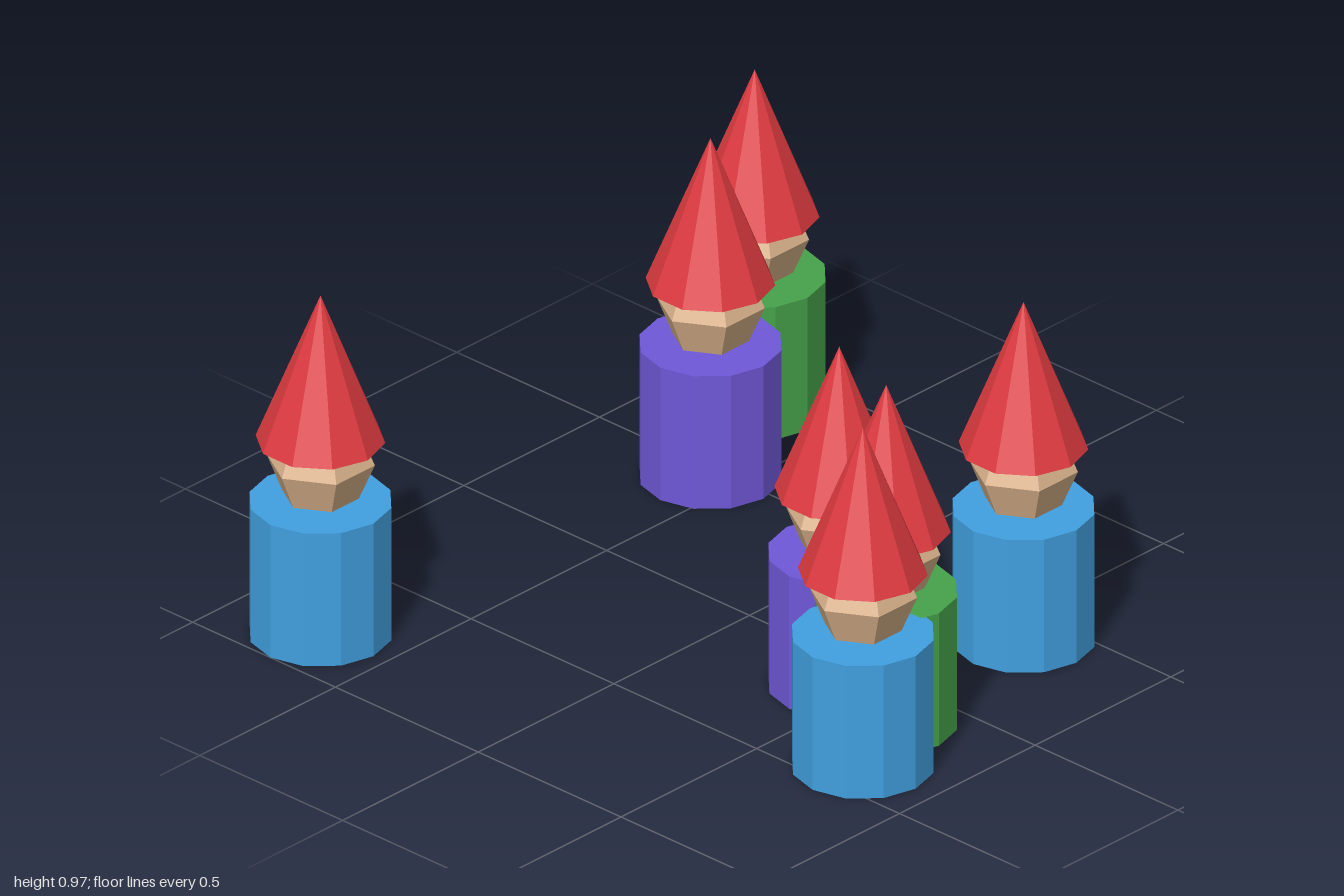
import * as THREE from 'three';

const mat = (name, color) => {
  const m = new THREE.MeshStandardMaterial({ color, flatShading: true });
  m.name = name;
  return m;
};

export function createModel() {
  const red = mat('hat red', 0xdf3a40);
  const skin = mat('skin', 0xdfb78f);
  const blue = mat('coat blue', 0x41a0e0);
  const green = mat('coat green', 0x46a34b);
  const purple = mat('coat purple', 0x7058d8);

  // Shared low-poly parts of one figure
  const bodyGeo = new THREE.CylinderGeometry(0.185, 0.185, 0.383, 12);
  const headGeo = new THREE.SphereGeometry(0.142, 6, 4);
  const hatGeo = new THREE.ConeGeometry(0.166, 0.415, 10);

  const part = (name, geometry, material, y) => {
    const mesh = new THREE.Mesh(geometry, material);
    mesh.name = name;
    mesh.position.y = y;
    return mesh;
  };

  const makeGnome = (coat, x, z) => {
    const gnome = new THREE.Group();
    gnome.name = 'gnome';
    gnome.add(
      part('body', bodyGeo, coat, 0.1915),
      part('head', headGeo, skin, 0.5),
      part('hat', hatGeo, red, 0.559 + 0.2075)
    );
    gnome.position.set(x, 0, z);
    return gnome;
  };

  // Scattered figures: coat, x, z
  const places = [
    [blue, -0.815, -0.728],
    [purple, 0.472, -0.585],
    [green, 0.813, -0.754],
    [purple, -0.105, 0.414],
    [green, -0.17, 0.64],
    [blue, -0.376, 0.754],
    [blue, 0.389, 0.59],
  ];
  const group = new THREE.Group();
  group.name = 'gnomes';
  for (const [coat, x, z] of places) group.add(makeGnome(coat, x, z));
  return group;
}
